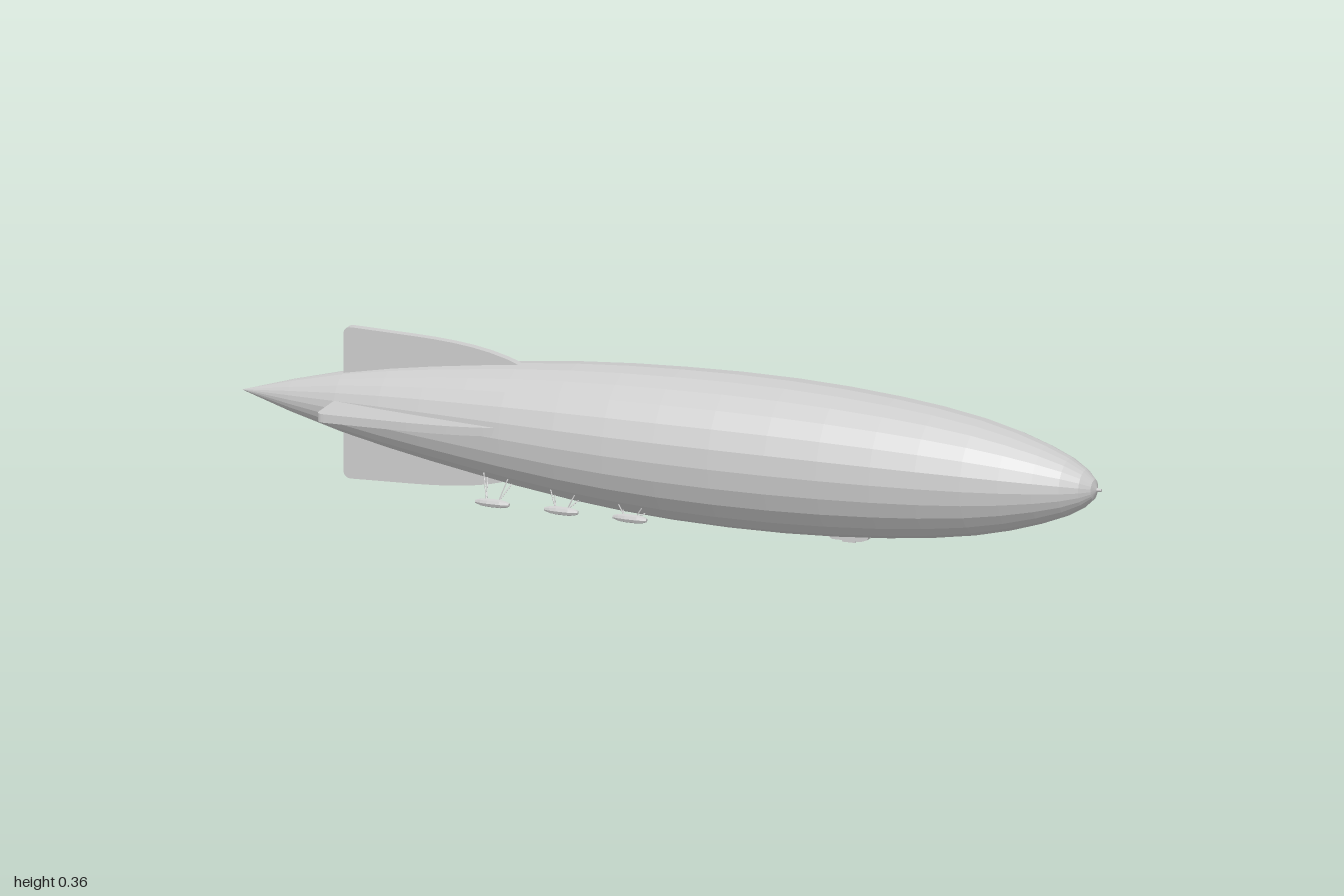
import * as THREE from 'three';

export function createModel() {
  const model = new THREE.Group();
  const grey = new THREE.MeshStandardMaterial({ color: 0xcccccc, flatShading: true });

  const add = (geometry, name, parent = model) => {
    const mesh = new THREE.Mesh(geometry, grey);
    mesh.name = name;
    parent.add(mesh);
    return mesh;
  };
  // Body of revolution along x from [x, radius] pairs, tail to nose
  const spun = (pairs, sides) => new THREE.LatheGeometry(
    pairs.map(([x, r]) => new THREE.Vector2(r, x)), sides).rotateZ(-Math.PI / 2);

  // Hull, its axis rising slightly towards the tail
  const profile = [
    [-1, 0], [-0.88, 0.036], [-0.76, 0.067], [-0.65, 0.089], [-0.55, 0.106], [-0.45, 0.121],
    [-0.35, 0.135], [-0.22, 0.15], [-0.1, 0.16], [0.02, 0.166], [0.15, 0.169], [0.28, 0.168],
    [0.4, 0.163], [0.52, 0.154], [0.62, 0.143], [0.72, 0.127], [0.8, 0.108], [0.87, 0.086],
    [0.925, 0.064], [0.962, 0.042], [0.983, 0.022], [0.991, 0],
  ];
  const axisY = x => 0.179 + 0.011 * THREE.MathUtils.smoothstep(-x, -0.1, 0.8);
  const radiusAt = x => {
    const i = Math.max(1, profile.findIndex(p => p[0] >= x));
    const [x0, r0] = profile[i - 1], [x1, r1] = profile[i];
    return r0 + (r1 - r0) * (x - x0) / (x1 - x0);
  };
  const hull = spun(profile, 24);
  const pos = hull.attributes.position;
  for (let i = 0; i < pos.count; i++) pos.setY(i, pos.getY(i) + axisY(pos.getX(i)));
  hull.computeVertexNormals();
  add(hull, 'hull');

  // Mooring tip on the nose
  add(spun([[0.985, 0], [0.985, 0.005], [1, 0.003], [1, 0]], 8), 'mooringTip').position.y = axisY(1);

  // Four tail fins with rounded rear corner and swept leading edge
  const outline = new THREE.Shape();
  outline.moveTo(-0.76, 0.03);
  outline.lineTo(-0.76, 0.152);
  outline.quadraticCurveTo(-0.76, 0.17, -0.742, 0.17);
  outline.lineTo(-0.6, 0.166);
  outline.bezierCurveTo(-0.5, 0.163, -0.42, 0.155, -0.345, 0.125);
  outline.lineTo(-0.345, 0.1);
  outline.closePath();
  const thickness = 0.019;
  const fin = new THREE.ExtrudeGeometry(outline, { depth: thickness, bevelEnabled: false, curveSegments: 6 })
    .translate(0, 0, -thickness / 2);
  ['upperFin', 'leftFin', 'lowerFin', 'rightFin'].forEach((name, i) => {
    const mesh = add(fin, name);
    mesh.rotation.x = i * Math.PI / 2;
    mesh.position.y = i % 2 ? 0.198 : 0.19;
  });

  // Thin strut between two points
  const strut = (a, b, parent) => {
    const dir = b.clone().sub(a);
    const mesh = add(new THREE.CylinderGeometry(0.0014, 0.0014, dir.length(), 5), 'strut', parent);
    mesh.position.copy(a).addScaledVector(dir, 0.5);
    mesh.quaternion.setFromUnitVectors(new THREE.Vector3(0, 1, 0), dir.normalize());
  };

  // Three pairs of engine cars hung from splayed struts
  const car = spun([[-0.039, 0], [-0.039, 0.004], [-0.026, 0.008], [-0.01, 0.0095],
    [0.018, 0.0095], [0.032, 0.007], [0.039, 0.004], [0.039, 0]], 8);
  for (const x of [-0.375, -0.215, -0.055]) {
    for (const side of [-1, 1]) {
      const group = new THREE.Group();
      group.name = 'engineCar';
      model.add(group);
      add(car, 'carBody', group).position.set(x, 0.03, side * 0.105);
      for (const end of [-1, 1]) {
        for (const angle of [0.48, 0.72]) {
          const top = x + end * 0.03, r = radiusAt(top) * 0.97;
          strut(new THREE.Vector3(x + end * 0.014, 0.035, side * 0.104),
            new THREE.Vector3(top, axisY(top) - r * Math.cos(angle), side * r * Math.sin(angle)), group);
        }
      }
    }
  }

  // Control car under the bow: tapered body, roof fairing and landing bumper
  const control = new THREE.Group();
  control.name = 'controlCar';
  control.position.x = 0.413;
  model.add(control);
  const body = new THREE.Shape();
  [[-0.05, 0.013], [-0.036, 0.005], [0.03, 0.005], [0.046, 0.011], [0.05, 0.026], [-0.05, 0.026]]
    .forEach(([x, y], i) => (i ? body.lineTo(x, y) : body.moveTo(x, y)));
  add(new THREE.ExtrudeGeometry(body, { depth: 0.018, bevelEnabled: false }).translate(0, 0, -0.009),
    'cabin', control);
  add(new THREE.BoxGeometry(0.084, 0.014, 0.014), 'fairing', control).position.y = 0.025;
  add(new THREE.BoxGeometry(0.03, 0.006, 0.008), 'bumper', control).position.y = 0.003;

  return model;
}
